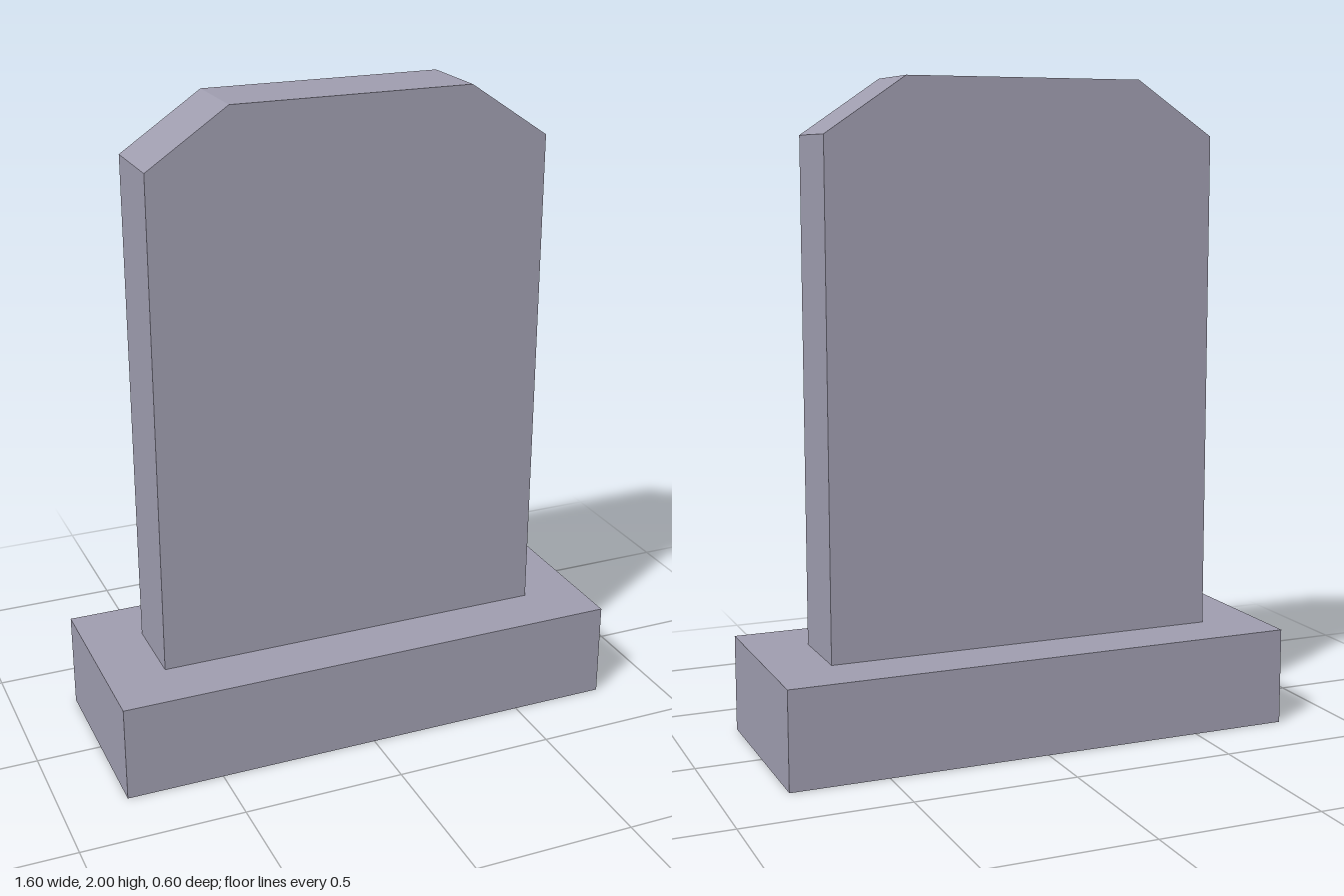
import * as THREE from 'three';

export function createModel() {
  const model = new THREE.Group();
  model.name = 'headstone';
  const stone = new THREE.MeshStandardMaterial({ color: 0x9e9cae, side: THREE.DoubleSide });
  stone.name = 'grey stone';

  // Plinth: a hollow block, open underneath
  const plinthGeometry = new THREE.BoxGeometry(1.6, 0.3, 0.6);
  const faces = Array.from(plinthGeometry.index.array);
  faces.splice(18, 6); // remove the bottom face
  plinthGeometry.setIndex(faces);
  plinthGeometry.clearGroups();
  plinthGeometry.translate(0, 0.15, 0);
  const plinth = new THREE.Mesh(plinthGeometry, stone);
  plinth.name = 'plinth';
  model.add(plinth);

  // Upright slab with chamfered top corners
  const outline = new THREE.Shape([
    [-0.617, 0.3], [0.617, 0.3], [0.617, 1.833],
    [0.37, 2], [-0.37, 2], [-0.617, 1.833],
  ].map(([x, y]) => new THREE.Vector2(x, y)));
  const depth = 0.243;
  const slabGeometry = new THREE.ExtrudeGeometry(outline, { depth, bevelEnabled: false });
  slabGeometry.translate(0, 0, -depth / 2);
  const slab = new THREE.Mesh(slabGeometry, stone);
  slab.name = 'slab';
  model.add(slab);

  return model;
}
